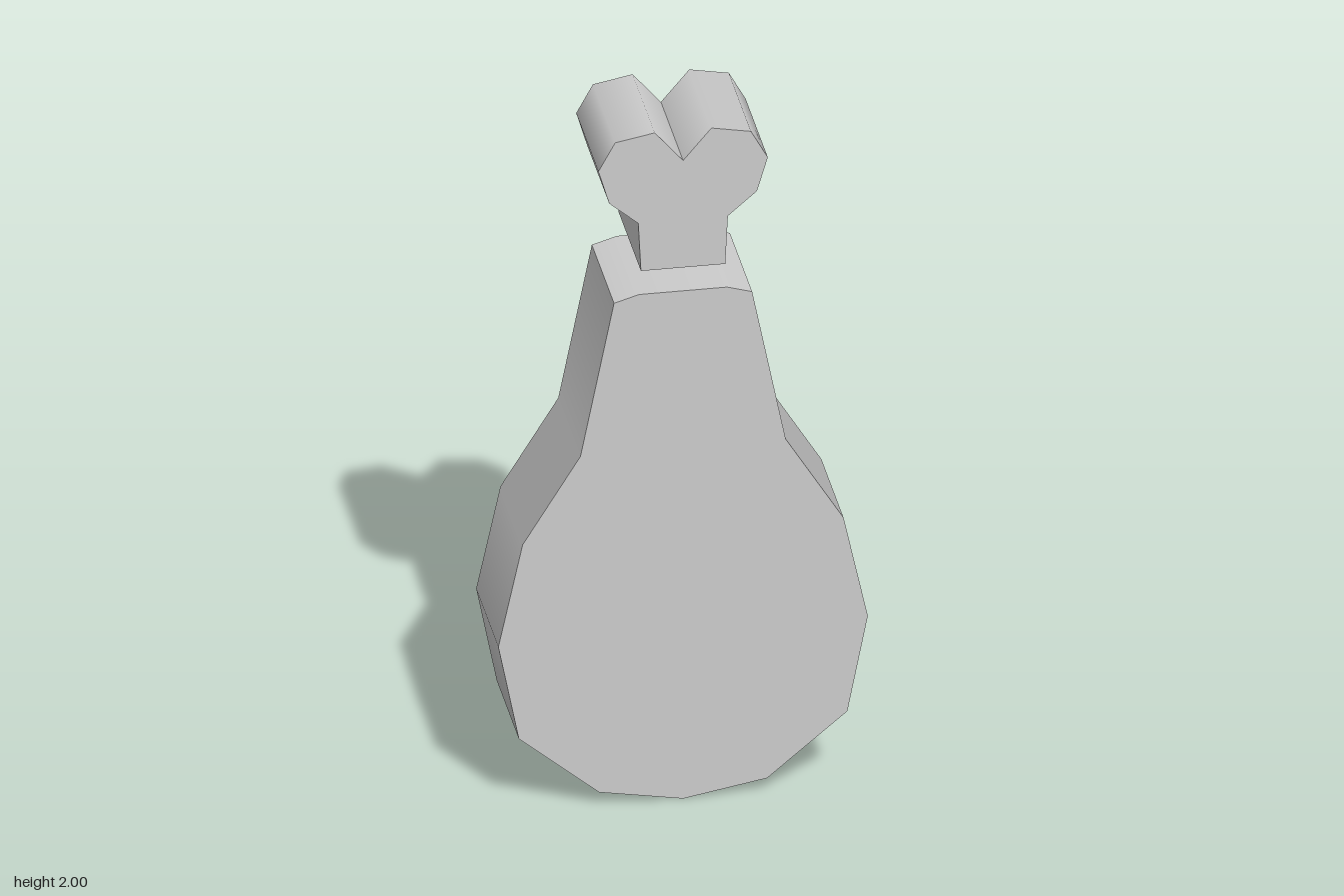
import * as THREE from 'three';
import { mergeGeometries } from 'three/addons/utils/BufferGeometryUtils.js';

const HALF_DEPTH = 0.166;

// Mirrors a right-hand half outline ([x, y, sharp], bottom to top) into a closed counter-clockwise loop
function mirrorOutline(half) {
  const left = half.filter(([x]) => x > 0).reverse().map(([x, y, s]) => [-x, y, s]);
  return [...half, ...left];
}

// Flat slab with smooth side walls, creased only at the outline points marked sharp
function slab(half) {
  const pts = mirrorOutline(half);
  const n = pts.length;
  const edgeNormal = (i) => {
    const a = pts[(i + n) % n], b = pts[(i + 1) % n];
    return new THREE.Vector2(b[1] - a[1], a[0] - b[0]).normalize();
  };
  const position = [], normal = [], index = [];
  for (let i = 0; i < n; i++) {
    const j = (i + 1) % n, own = edgeNormal(i);
    const na = pts[i][2] ? own : edgeNormal(i - 1).add(own).normalize();
    const nb = pts[j][2] ? own : edgeNormal(j).add(own).normalize();
    for (const [p, nn, z] of [[pts[i], na, 1], [pts[i], na, -1], [pts[j], nb, -1], [pts[j], nb, 1]]) {
      position.push(p[0], p[1], z * HALF_DEPTH);
      normal.push(nn.x, nn.y, 0);
    }
    const k = i * 4;
    index.push(k, k + 1, k + 2, k, k + 2, k + 3);
  }
  const walls = new THREE.BufferGeometry();
  walls.setAttribute('position', new THREE.Float32BufferAttribute(position, 3));
  walls.setAttribute('normal', new THREE.Float32BufferAttribute(normal, 3));
  walls.setIndex(index);

  // Front and back faces; the outline is symmetric, so the back is the front turned round
  const shape = new THREE.Shape(pts.map(([x, y]) => new THREE.Vector2(x, y)));
  const caps = [0, Math.PI].map((turn) => {
    const cap = new THREE.ShapeGeometry(shape);
    cap.deleteAttribute('uv');
    return cap.translate(0, 0, HALF_DEPTH).rotateY(turn);
  });
  return mergeGeometries([walls, ...caps]);
}

export function createModel() {
  const group = new THREE.Group();
  group.name = 'drumstick';
  const material = new THREE.MeshStandardMaterial({ color: 0xcccccc });
  const add = (name, half) => {
    const mesh = new THREE.Mesh(slab(half), material);
    mesh.name = name;
    group.add(mesh);
  };

  // Rounded meat, narrowing to a flat top
  add('meat', [
    [0, 0], [0.225, 0.04], [0.44, 0.22], [0.495, 0.5], [0.43, 0.8],
    [0.275, 1.05], [0.185, 1.5, true], [0.118, 1.52],
  ]);

  // Bone end: short shaft with two knuckles and a notch between them
  add('bone', [
    [0.113, 1.59, true], [0.12, 1.733, true], [0.198, 1.8], [0.227, 1.898],
    [0.182, 1.98], [0.076, 2], [0, 1.91, true],
  ]);
  return group;
}
